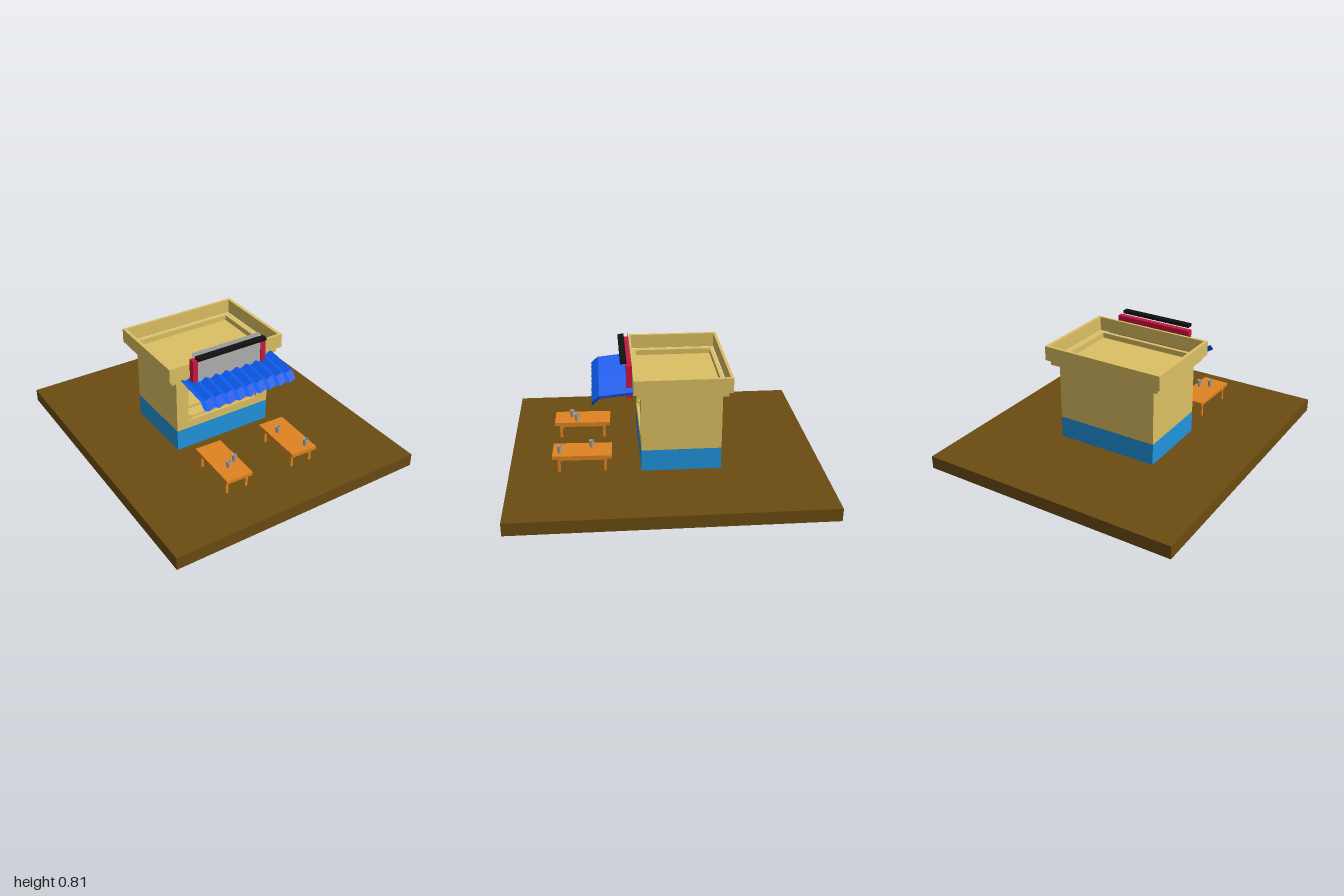
import * as THREE from 'three';

const mat = (color, side = THREE.FrontSide) =>
  new THREE.MeshStandardMaterial({ color, side, flatShading: true });
const TAN = mat(0xdcc063), BLUE = mat(0x2094dd), SOIL = mat(0x6b4c11), RED = mat(0xcc1640);
const WOOD = mat(0xe08420), BLACK = mat(0x111111), GREY = mat(0xb0b0b0);
const CLOTH = mat(0x0d5cf0, THREE.DoubleSide), CUP = mat(0xaaaaaa, THREE.DoubleSide);

function add(parent, name, geometry, material) {
  const mesh = new THREE.Mesh(geometry, material);
  mesh.name = name;
  parent.add(mesh);
  return mesh;
}

// Box given by its limits on each axis
function box(parent, name, material, x0, x1, y0, y1, z0, z1) {
  const m = add(parent, name, new THREE.BoxGeometry(x1 - x0, y1 - y0, z1 - z0), material);
  m.position.set((x0 + x1) / 2, (y0 + y1) / 2, (z0 + z1) / 2);
  return m;
}

function rect(Type, x0, x1, y0, y1) {
  return new Type([[x0, y0], [x1, y0], [x1, y1], [x0, y1]].map(p => new THREE.Vector2(...p)));
}

// Rectangular plate with a rectangular hole, in the XY plane
function frame(outer, inner, depth) {
  const s = rect(THREE.Shape, ...outer);
  s.holes.push(rect(THREE.Path, ...inner));
  return new THREE.ExtrudeGeometry(s, { depth, bevelEnabled: false });
}

// Horizontal ring; z limits are negated by the rotation
function ring(parent, name, y, height, [x0, x1, z0, z1], [a0, a1, b0, b1]) {
  const g = frame([x0, x1, -z1, -z0], [a0, a1, -b1, -b0], height).rotateX(-Math.PI / 2);
  add(parent, name, g, TAN).position.y = y;
}

function makeHouse() {
  const g = new THREE.Group();
  g.name = 'house';
  box(g, 'paintedPlinth', BLUE, -0.37, 0.32, 0.085, 0.23, -0.35, 0.16);
  box(g, 'lowerWall', TAN, -0.37, 0.32, 0.23, 0.285, -0.35, 0.16);
  box(g, 'backWall', TAN, -0.37, 0.32, 0.285, 0.57, -0.35, -0.31);
  box(g, 'rightWall', TAN, -0.37, -0.33, 0.285, 0.57, -0.31, 0.12);
  box(g, 'leftWall', TAN, 0.28, 0.32, 0.285, 0.57, -0.31, 0.12);
  add(g, 'windowWall', frame([-0.37, 0.32, 0.28, 0.57], [-0.285, 0.235, 0.285, 0.555], 0.04), TAN)
    .position.z = 0.12;
  box(g, 'roofSlab', TAN, -0.37, 0.32, 0.57, 0.605, -0.35, 0.16);
  // Serving counter with end blocks
  box(g, 'counter', TAN, -0.25, 0.2, 0.285, 0.3, 0.06, 0.14);
  box(g, 'counterBack', TAN, -0.285, 0.235, 0.285, 0.32, 0.03, 0.06);
  box(g, 'counterEnd', TAN, -0.285, -0.25, 0.285, 0.315, 0.06, 0.15);
  box(g, 'counterEnd', TAN, 0.2, 0.235, 0.285, 0.315, 0.06, 0.15);
  box(g, 'windowLamp', BLACK, -0.28, 0.215, 0.51, 0.53, 0.11, 0.15);
  // Stepped cornice and parapet
  ring(g, 'cornice', 0.605, 0.035, [-0.415, 0.365, -0.38, 0.185], [-0.375, 0.325, -0.355, 0.158]);
  ring(g, 'parapet', 0.64, 0.095, [-0.44, 0.39, -0.403, 0.207], [-0.418, 0.368, -0.385, 0.19]);
  box(g, 'roofEdge', TAN, -0.38, 0.33, 0.595, 0.605, -0.36, 0.165);
  return g;
}

function makeSign() {
  const g = new THREE.Group();
  g.name = 'signBoard';
  box(g, 'signBack', RED, -0.3, 0.235, 0.555, 0.77, 0.208, 0.232);
  add(g, 'signFrame', frame([-0.3, 0.235, 0.555, 0.77], [-0.265, 0.2, 0.575, 0.755], 0.013), RED)
    .position.z = 0.232;
  box(g, 'signPanel', GREY, -0.265, 0.2, 0.575, 0.755, 0.23, 0.238);
  box(g, 'signLamp', BLACK, -0.28, 0.215, 0.778, 0.798, 0.24, 0.28);
  const plate = add(g, 'lampPlate', new THREE.PlaneGeometry(0.49, 0.06), GREY);
  plate.position.set(-0.04, 0.78, 0.215);
  return g;
}

// Zigzag sheet that slopes out and bends down at the lip
function makeAwning() {
  const profile = [[0.19, 0.622], [0.415, 0.598], [0.46, 0.558]];
  const geo = new THREE.PlaneGeometry(0.67, 1, 18, profile.length - 1);
  const p = geo.attributes.position;
  for (let i = 0; i < p.count; i++) {
    const [z, y] = profile[Math.floor(i / 19)];
    const wave = (i % 19) % 2 ? -0.011 : 0.011;
    p.setXYZ(i, p.getX(i) - 0.02, y + wave, z + wave * 0.3);
  }
  const g = new THREE.Group();
  g.name = 'awning';
  add(g, 'awningTop', geo, CLOTH);
  add(g, 'awningUnderside', geo, CLOTH).position.y = -0.009;
  return g;
}

function makeTable(x, z) {
  const g = new THREE.Group();
  g.name = 'table';
  box(g, 'tableTop', WOOD, -0.09, 0.09, 0.18, 0.202, -0.188, 0.188);
  for (const sx of [-1, 1]) {
    box(g, 'sideRail', WOOD, sx * 0.068 - 0.009, sx * 0.068 + 0.009, 0.165, 0.18, -0.155, 0.155);
    for (const sz of [-1, 1])
      box(g, 'tableLeg', WOOD, sx * 0.068 - 0.009, sx * 0.068 + 0.009, 0.085, 0.18,
        sz * 0.147 - 0.009, sz * 0.147 + 0.009);
  }
  for (const sz of [-1, 1])
    box(g, 'endRail', WOOD, -0.06, 0.06, 0.165, 0.18, sz * 0.147 - 0.008, sz * 0.147 + 0.008);
  g.position.set(x, 0, z);
  g.rotation.y = -0.03;
  return g;
}

export function createModel() {
  const model = new THREE.Group();
  model.name = 'foodStall';
  box(model, 'ground', SOIL, -0.87, 0.87, 0, 0.085, -1, 1);
  model.add(makeHouse(), makeSign(), makeAwning());
  model.add(makeTable(-0.262, 0.533), makeTable(0.22, 0.533));
  // Tapered open cups
  const cup = new THREE.LatheGeometry(
    [[0, 0], [0.011, 0], [0.017, 0.048], [0.014, 0.048], [0.009, 0.006], [0, 0.006]]
      .map(q => new THREE.Vector2(...q)), 12);
  for (const [x, z] of [[-0.275, 0.605], [-0.21, 0.572], [0.188, 0.473], [0.253, 0.675]])
    add(model, 'cup', cup, CUP).position.set(x, 0.202, z);
  return model;
}
